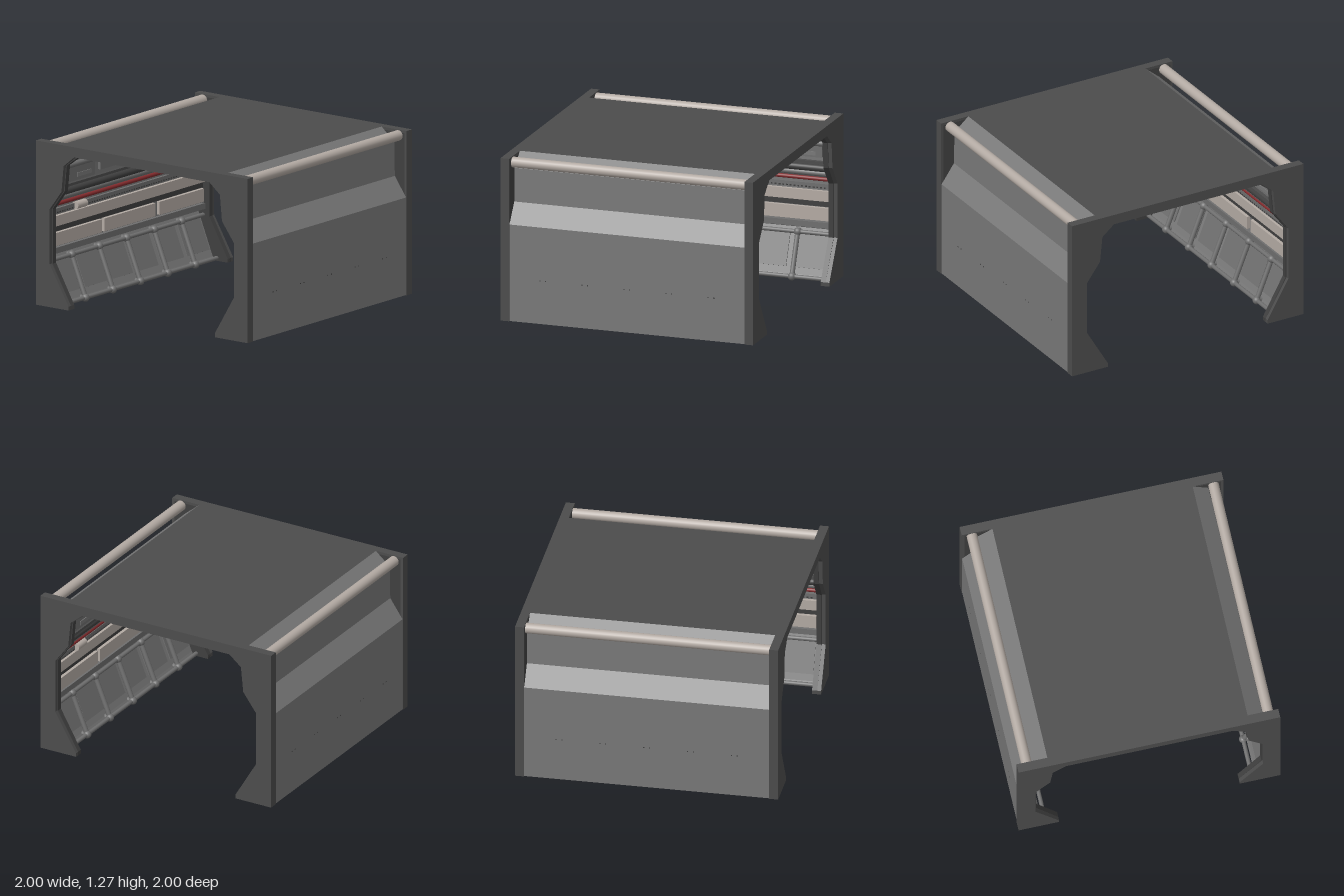
import * as THREE from 'three';

const mat = (name, color) => {
  const m = new THREE.MeshStandardMaterial({ color });
  m.name = name;
  return m;
};

export function createModel() {
  const model = new THREE.Group();
  model.name = 'corridorSection';

  const frameDark = mat('frameDark', 0x4c4c4c);
  const lipDark = mat('lipDark', 0x3f3f3f);
  const wallGrey = mat('wallGrey', 0x787878);
  const pipeGrey = mat('pipeWarmGrey', 0xb3aaa3);
  const railGrey = mat('railGrey', 0x6e6e6e);
  const red = mat('pipeRed', 0x842b2d);

  const add = (parent, name, geometry, material) => {
    const mesh = new THREE.Mesh(geometry, material);
    mesh.name = name;
    parent.add(mesh);
    return mesh;
  };
  const box = (parent, name, material, x, y, z, w, h, d, tilt = 0) => {
    const m = add(parent, name, new THREE.BoxGeometry(w, h, d), material);
    m.position.set(x, y, z);
    m.rotation.z = tilt;
  };
  // Pipe running along z
  const zPipe = (parent, name, material, x, y, r, z0 = -0.93, z1 = 0.93) => {
    const g = new THREE.CylinderGeometry(r, r, z1 - z0, 20).rotateX(Math.PI / 2);
    add(parent, name, g, material).position.set(x, y, (z0 + z1) / 2);
  };
  const extrude = (points, depth) => {
    const shape = new THREE.Shape(points.map(([x, y]) => new THREE.Vector2(x, y)));
    const g = new THREE.ExtrudeGeometry(shape, { depth, bevelEnabled: false });
    return g.translate(0, 0, -depth / 2);
  };

  // Opening profile, left half from foot to ceiling
  const opening = [[0.69, 0.01], [0.69, 0.04], [0.862, 0.34], [0.862, 0.76],
    [0.75, 0.91], [0.73, 1.11], [0.63, 1.184]];
  const archPoints = (grow, outX, outY) => {
    const left = opening.map(([x, y], i) => [x + (i > 1 ? grow : 0), y + (i === 6 ? grow : 0)]);
    const right = left.map(([x, y]) => [-x, y]);
    return [[outX, 0.01], [outX, outY], [-outX, outY], [-outX, 0.01], ...right, ...left.reverse()];
  };

  // End frames with a thin lip round the opening
  for (const s of [1, -1]) {
    add(model, 'endFrame', extrude(archPoints(0.008, 1, 1.27), 0.068), frameDark).position.z = s * 0.965;
    add(model, 'frameLip', extrude(archPoints(0, 0.98, 1.25), 0.04), lipDark).position.z = s * 0.95;
  }

  // Roof and ceiling
  box(model, 'roof', frameDark, 0, 1.24, 0, 1.53, 0.06, 1.87);
  box(model, 'ceiling', pipeGrey, 0, 1.205, 0, 1.48, 0.012, 1.87);

  // One side wall with everything mounted on it, facing inwards from +x
  const buildSide = () => {
    const side = new THREE.Group();
    side.name = 'sideWall';

    add(side, 'wallShell', extrude([[0.815, 0.012], [0.996, 0.012], [0.996, 0.76], [0.89, 0.91],
      [0.885, 1.17], [0.765, 1.27], [0.72, 1.21], [0.82, 1.14], [0.825, 0.93], [0.93, 0.78],
      [0.93, 0.42], [0.965, 0.37], [0.83, 0.04]], 1.87), wallGrey);
    zPipe(side, 'roofPipe', pipeGrey, 0.923, 1.226, 0.04);

    // Upper wall: red pipe, clamp and panels
    zPipe(side, 'upperRedPipe', red, 0.77, 1.145, 0.023);
    zPipe(side, 'upperRail', railGrey, 0.785, 1.085, 0.022);
    zPipe(side, 'pipeSleeve', railGrey, 0.77, 1.145, 0.029, -0.3, -0.18);
    zPipe(side, 'lightCanister', pipeGrey, 0.785, 1.11, 0.03, 0.42, 0.52);
    for (const [z, d, y, h] of [[-0.72, 0.36, 1.01, 0.12], [-0.22, 0.5, 1.02, 0.09],
      [0.25, 0.34, 1.0, 0.14], [0.7, 0.4, 1.02, 0.1]]) {
      box(side, 'upperPanel', railGrey, 0.812, y, z, 0.025, h, d);
      box(side, 'upperPanelTrim', wallGrey, 0.8, y - 0.02, z + 0.05, 0.012, 0.03, d * 0.5);
    }
    box(side, 'upperLedge', frameDark, 0.815, 0.93, 0, 0.04, 0.02, 1.86);

    // Shoulder: dark conduits and lower red pipe
    zPipe(side, 'shoulderConduit', lipDark, 0.842, 0.875, 0.026);
    zPipe(side, 'shoulderConduit', railGrey, 0.878, 0.825, 0.022);
    zPipe(side, 'lowerRedPipe', red, 0.89, 0.778, 0.015);
    zPipe(side, 'lightCanister', pipeGrey, 0.9, 0.72, 0.03, -0.65, -0.53);

    // Lower wall: light bands, dark grooves and a row of studs
    box(side, 'studBand', railGrey, 0.92, 0.715, 0, 0.024, 0.04, 1.86);
    for (let i = 0; i < 60; i++) {
      box(side, 'stud', lipDark, 0.908, 0.705, -0.885 + i * 0.03, 0.006, 0.01, 0.014);
    }
    box(side, 'lightBand', pipeGrey, 0.918, 0.64, 0, 0.03, 0.08, 1.86);
    box(side, 'groove', lipDark, 0.928, 0.575, 0, 0.012, 0.04, 1.86);
    for (const [z, d] of [[-0.62, 0.6], [0.02, 0.62], [0.65, 0.54]]) {
      box(side, 'lightPanel', pipeGrey, 0.918, 0.5, z, 0.03, 0.1, d);
    }
    box(side, 'lowerLedge', railGrey, 0.925, 0.415, 0, 0.05, 0.045, 1.86);

    // Sloped skirt: recessed panels, rails and freestanding struts
    const tilt = -Math.atan2(0.135, 0.33);
    for (let i = 0; i < 6; i++) {
      box(side, 'skirtPanel', railGrey, 0.896, 0.205, -0.775 + i * 0.31, 0.014, 0.25, 0.27, tilt);
    }
    zPipe(side, 'upperSkirtRail', railGrey, 0.92, 0.345, 0.016);
    zPipe(side, 'lowerSkirtRail', railGrey, 0.79, 0.032, 0.016);
    for (let i = -2; i <= 2; i++) {
      const z = i * 0.333;
      const path = new THREE.CurvePath();
      const pts = [[0.985, 0.345], [0.92, 0.345], [0.79, 0.032], [0.85, 0.032]]
        .map(([x, y]) => new THREE.Vector3(x, y, z));
      for (let k = 0; k < 3; k++) path.add(new THREE.LineCurve3(pts[k], pts[k + 1]));
      add(side, 'strut', new THREE.TubeGeometry(path, 40, 0.019, 12), railGrey);
      for (const p of [pts[1], pts[2]]) {
        add(side, 'strutJoint', new THREE.SphereGeometry(0.031, 16, 12), railGrey).position.copy(p);
      }
      // Bolt ends showing on the outer face
      for (const s of [-1, 1]) box(side, 'boltEnd', lipDark, 0.996, 0.345, z + s * 0.022, 0.004, 0.008, 0.008);
    }
    return side;
  };

  const left = buildSide();
  const right = buildSide();
  right.rotation.y = Math.PI;
  model.add(left, right);
  return model;
}
